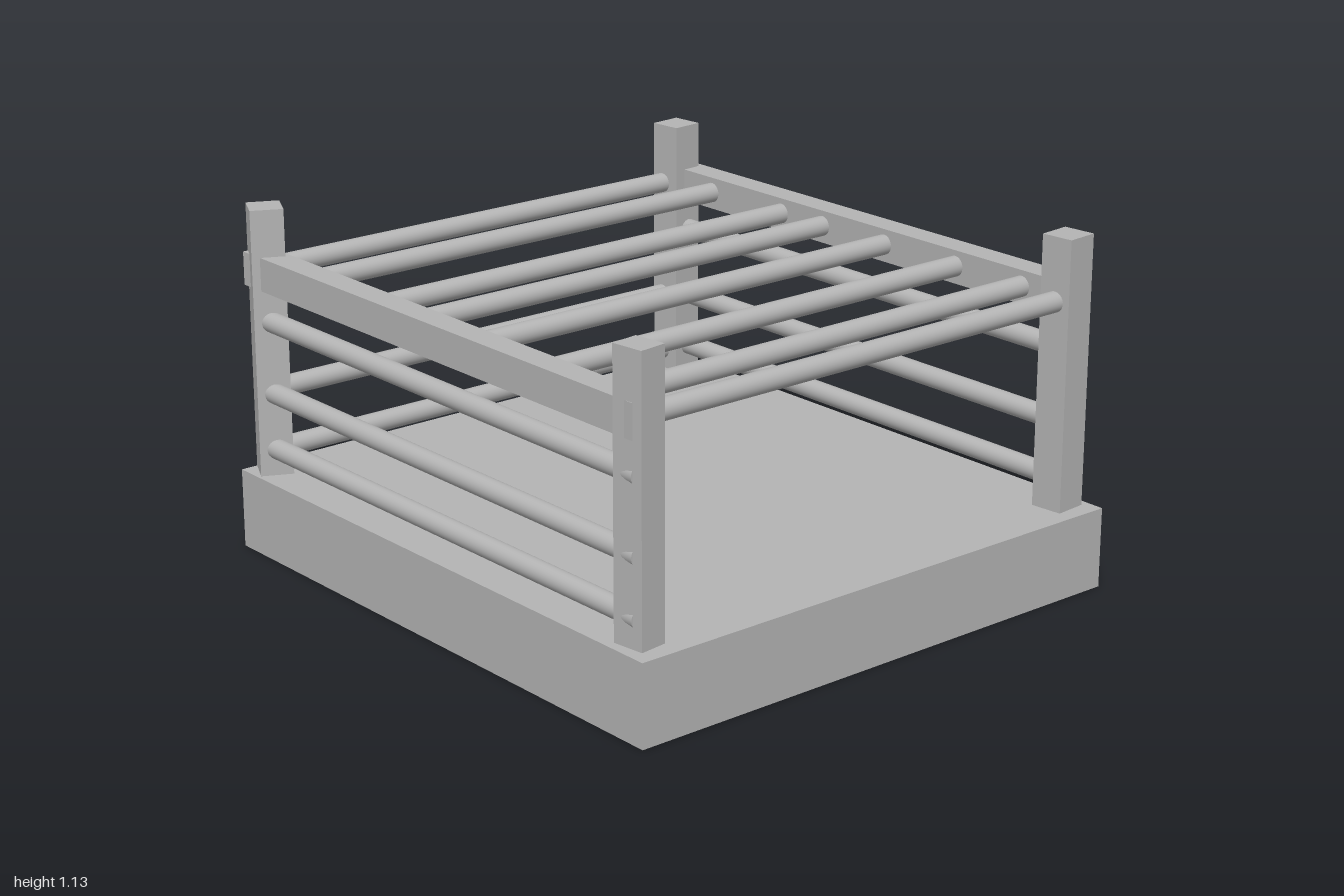
import * as THREE from 'three';

export function createModel() {
  const model = new THREE.Group();
  model.name = 'railedPlatform';

  const grey = new THREE.MeshStandardMaterial({ color: 0xb4b4b4 });
  grey.name = 'plain grey';

  const add = (name, geometry, x, y, z) => {
    const mesh = new THREE.Mesh(geometry, grey);
    mesh.name = name;
    mesh.position.set(x, y, z);
    model.add(mesh);
    return mesh;
  };
  const box = (name, x0, x1, y0, y1, z0, z1) =>
    add(name, new THREE.BoxGeometry(x1 - x0, y1 - y0, z1 - z0),
      (x0 + x1) / 2, (y0 + y1) / 2, (z0 + z1) / 2);

  const R = 0.033;
  const railX = (name, x0, x1, y, z) => {
    const rail = add(name, new THREE.CylinderGeometry(R, R, x1 - x0, 32), (x0 + x1) / 2, y, z);
    rail.rotation.z = Math.PI / 2;
  };
  const railZ = (name, z0, z1, x, y) => {
    const rail = add(name, new THREE.CylinderGeometry(R, R, z1 - z0, 32), x, y, (z0 + z1) / 2);
    rail.rotation.x = Math.PI / 2;
  };

  // Solid floor slab
  box('base', -1, 1, 0, 0.26, -0.92, 0.92);

  // Corner posts, each slightly twisted: x, z, width, depth, twist in degrees
  const posts = [
    ['backRightPost', -0.93, -0.834, 0.108, 0.108, 5],
    ['backLeftPost', 0.89, -0.834, 0.108, 0.108, 5],
    ['frontLeftPost', 0.888, 0.838, 0.107, 0.092, 7],
    ['frontRightPost', -0.93, 0.838, 0.105, 0.105, -26],
  ];
  for (const [name, x, z, w, d, twist] of posts) {
    const post = add(name, new THREE.BoxGeometry(w, 0.88, d), x, 0.69, z);
    post.rotation.y = THREE.MathUtils.degToRad(twist);
  }

  // Square top beams
  box('frontBeam', -0.99, 0.914, 0.87, 0.978, 0.795, 0.885);
  box('backBeam', -0.99, 0.914, 0.87, 0.978, -0.914, -0.824);

  // Round rails along the front and back
  for (const y of [0.345, 0.53, 0.765]) {
    railX('frontRail', -0.95, 0.913, y, 0.854);
    railX('backRail', -0.95, 0.913, y, -0.845);
  }

  // Side rails: two low ones on one side only, a high one on both
  for (const y of [0.327, 0.528]) railZ('sideRail', -0.905, 0.85, -0.94, y);
  railZ('highSideRail', -0.85, 0.85, -0.94, 0.927);
  railZ('highSideRail', -0.85, 0.85, 0.893, 0.927);

  // Unevenly spaced rails overhead
  for (const x of [-0.73, -0.38, -0.18, 0.11, 0.43, 0.715])
    railZ('overheadRail', -0.84, 0.82, x, 0.927);

  return model;
}
